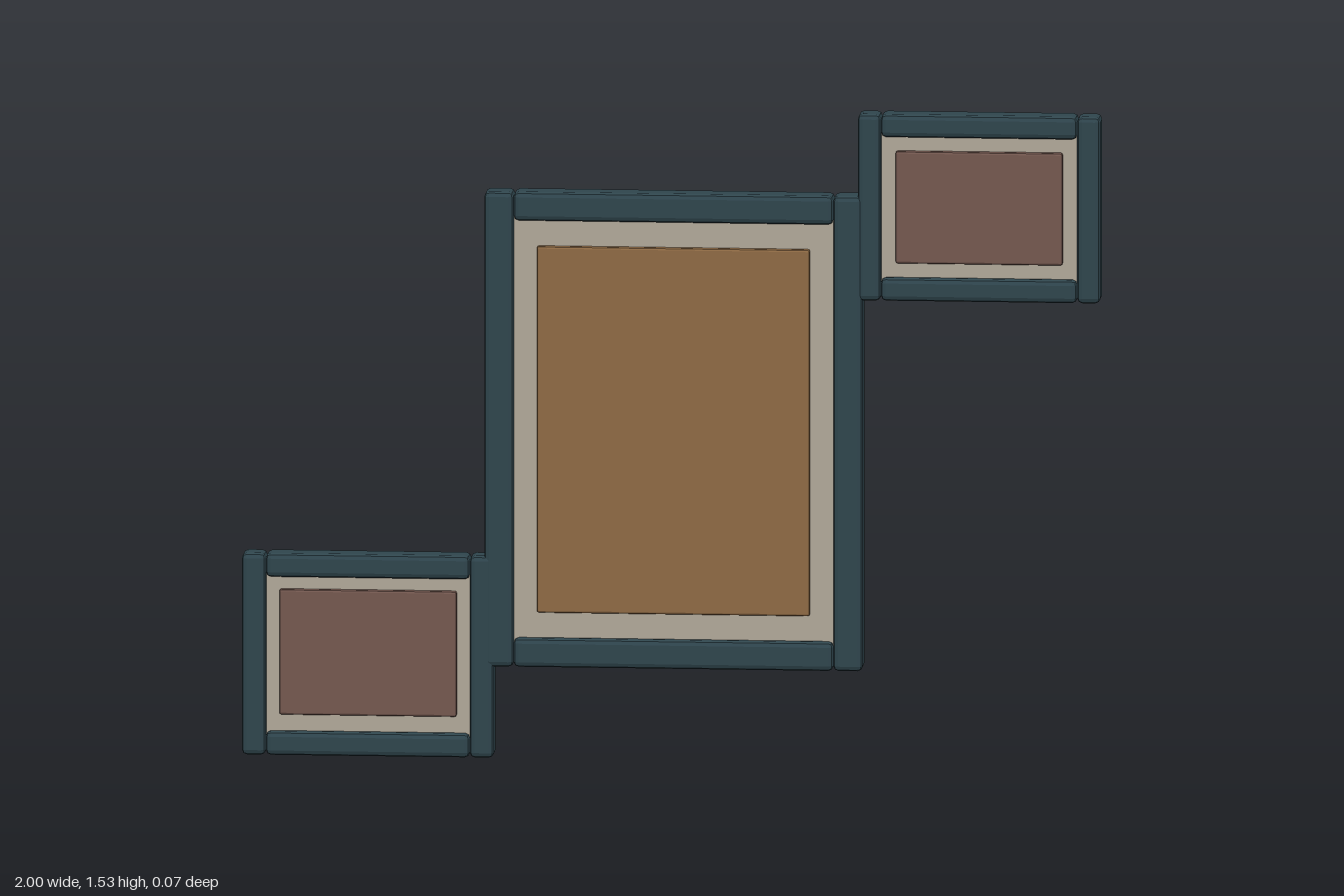
import * as THREE from 'three';
import { RoundedBoxGeometry } from 'three/addons/geometries/RoundedBoxGeometry.js';

const paint = (color) => new THREE.MeshStandardMaterial({ color, flatShading: true });

const DEPTH = 0.072;   // thickness of the frame bars
const BEVEL = 0.012;   // chamfer on the bars

// Chamfered box spanning x0..x1, y0..y1, z0..z1
function slab(name, material, [x0, x1], [y0, y1], [z0, z1], bevel) {
  const geometry = new RoundedBoxGeometry(x1 - x0, y1 - y0, z1 - z0, 1, bevel);
  const mesh = new THREE.Mesh(geometry, material);
  mesh.name = name;
  mesh.position.set((x0 + x1) / 2, (y0 + y1) / 2, (z0 + z1) / 2);
  return mesh;
}

// One picture frame: two full-height stiles, two rails between them, mat and picture
function pictureFrame({ name, x, y, bar, picX, picY, color }, wood, matMaterial) {
  const group = new THREE.Group();
  group.name = name;
  const z = [-DEPTH / 2, DEPTH / 2];
  const inX = [x[0] + bar, x[1] - bar];
  const inY = [y[0] + bar, y[1] - bar];

  group.add(
    slab('rightStile', wood, [x[0], inX[0]], y, z, BEVEL),
    slab('leftStile', wood, [inX[1], x[1]], y, z, BEVEL),
    slab('bottomRail', wood, inX, [y[0], inY[0]], z, BEVEL),
    slab('topRail', wood, inX, [inY[1], y[1]], z, BEVEL),
  );

  // Mat board, recessed at front and back and tucked under the bars
  const tuck = 0.015;
  const mat = new THREE.Mesh(
    new THREE.BoxGeometry(inX[1] - inX[0] + 2 * tuck, inY[1] - inY[0] + 2 * tuck, 0.033), matMaterial);
  mat.name = 'matBoard';
  mat.position.set((x[0] + x[1]) / 2, (y[0] + y[1]) / 2, -0.0015);
  group.add(mat);

  // Raised picture panel
  group.add(slab('picture', paint(color), picX, picY, [0, 0.029], 0.005));
  return group;
}

export function createModel() {
  const model = new THREE.Group();
  model.name = 'pictureFrameSet';
  const wood = paint(0x2f454d);
  const matMaterial = paint(0xb0a899);

  const frames = [
    { name: 'largeFrame', x: [-0.435, 0.446], y: [0.215, 1.333], bar: 0.068,
      picX: [-0.313, 0.323], picY: [0.343, 1.205], color: 0x8e6a44 },
    { name: 'lowerFrame', x: [-1, -0.413], y: [0, 0.475], bar: 0.056,
      picX: [-0.913, -0.5], picY: [0.095, 0.39], color: 0x74584f },
    { name: 'upperFrame', x: [0.435, 1], y: [1.088, 1.527], bar: 0.054,
      picX: [0.523, 0.912], picY: [1.176, 1.44], color: 0x74584f },
  ];
  for (const frame of frames) model.add(pictureFrame(frame, wood, matMaterial));
  return model;
}
